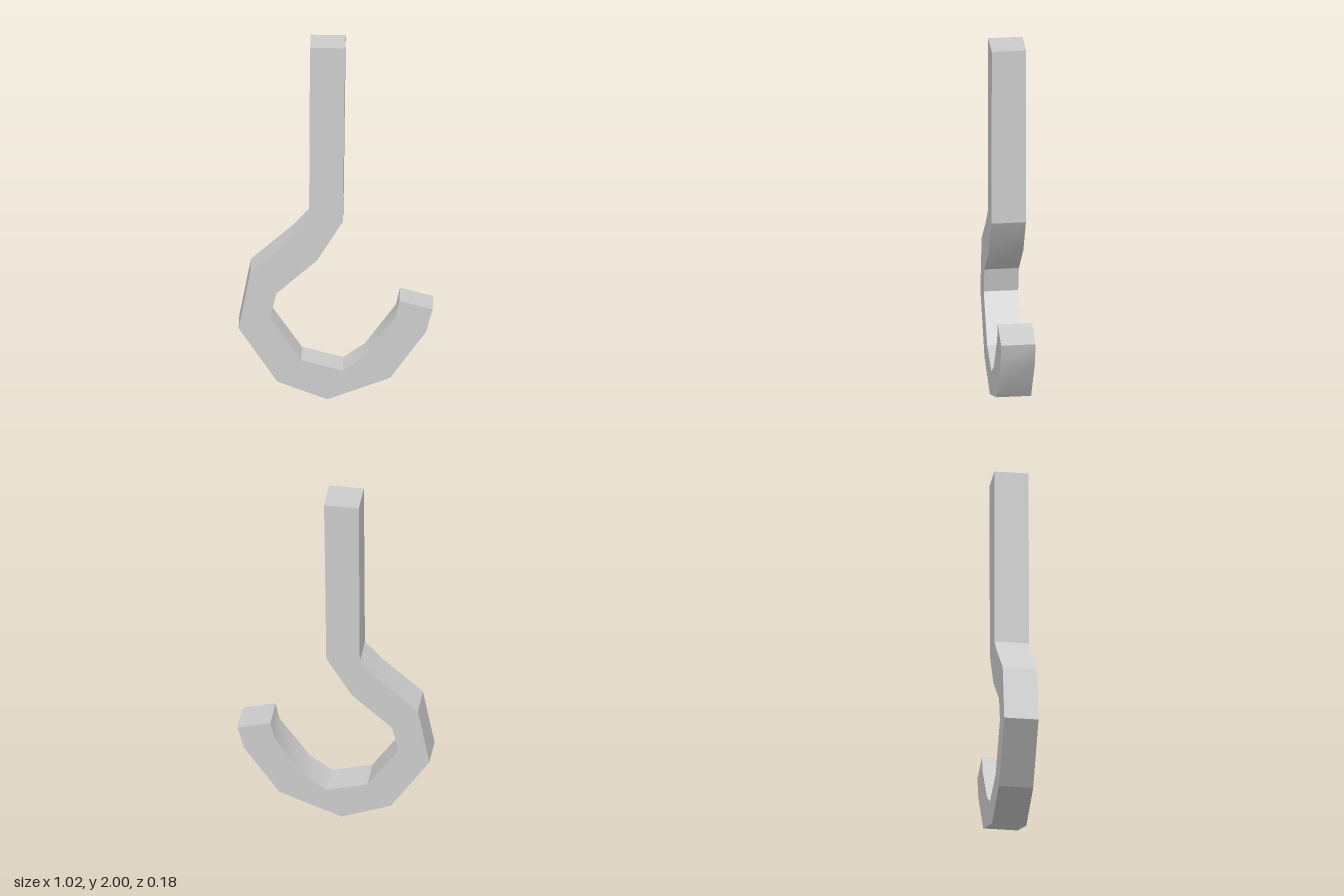
import * as THREE from 'three';
import { toCreasedNormals } from 'three/addons/utils/BufferGeometryUtils.js';

const DEPTH = 0.182;

// Paired [outer x, y, inner x, y] stations, running from the shank top to the tip
const STATIONS = [
  [-0.135, 2, 0.05, 2],
  [-0.14, 1.012, 0.038, 1.012],
  [-0.232, 0.913, -0.098, 0.79],
  [-0.449, 0.722, -0.312, 0.6],
  [-0.51, 0.4, -0.345, 0.46],
  [-0.306, 0.098, -0.18, 0.222],
  [-0.043, 0, 0.037, 0.165],
  [0.287, 0.125, 0.15, 0.245],
  [0.476, 0.39, 0.313, 0.467],
  [0.51, 0.516, 0.335, 0.563],
];

export function createModel() {
  const group = new THREE.Group();
  group.name = 'hook';

  // Closed outline: down the outer edge, back up the inner edge
  const outer = STATIONS.map(([x, y]) => new THREE.Vector2(x, y));
  const inner = STATIONS.map(([, , x, y]) => new THREE.Vector2(x, y)).reverse();
  const outline = new THREE.Shape([...outer, ...inner]);

  // Square bar, with gentle bends smoothed and strong bends kept sharp
  const bar = new THREE.ExtrudeGeometry(outline, { depth: DEPTH, bevelEnabled: false });
  bar.translate(0, 0, -DEPTH / 2);
  const hook = new THREE.Mesh(
    toCreasedNormals(bar, THREE.MathUtils.degToRad(30)),
    new THREE.MeshStandardMaterial({ color: 0xcccccc })
  );
  hook.name = 'hookBar';
  group.add(hook);
  return group;
}
